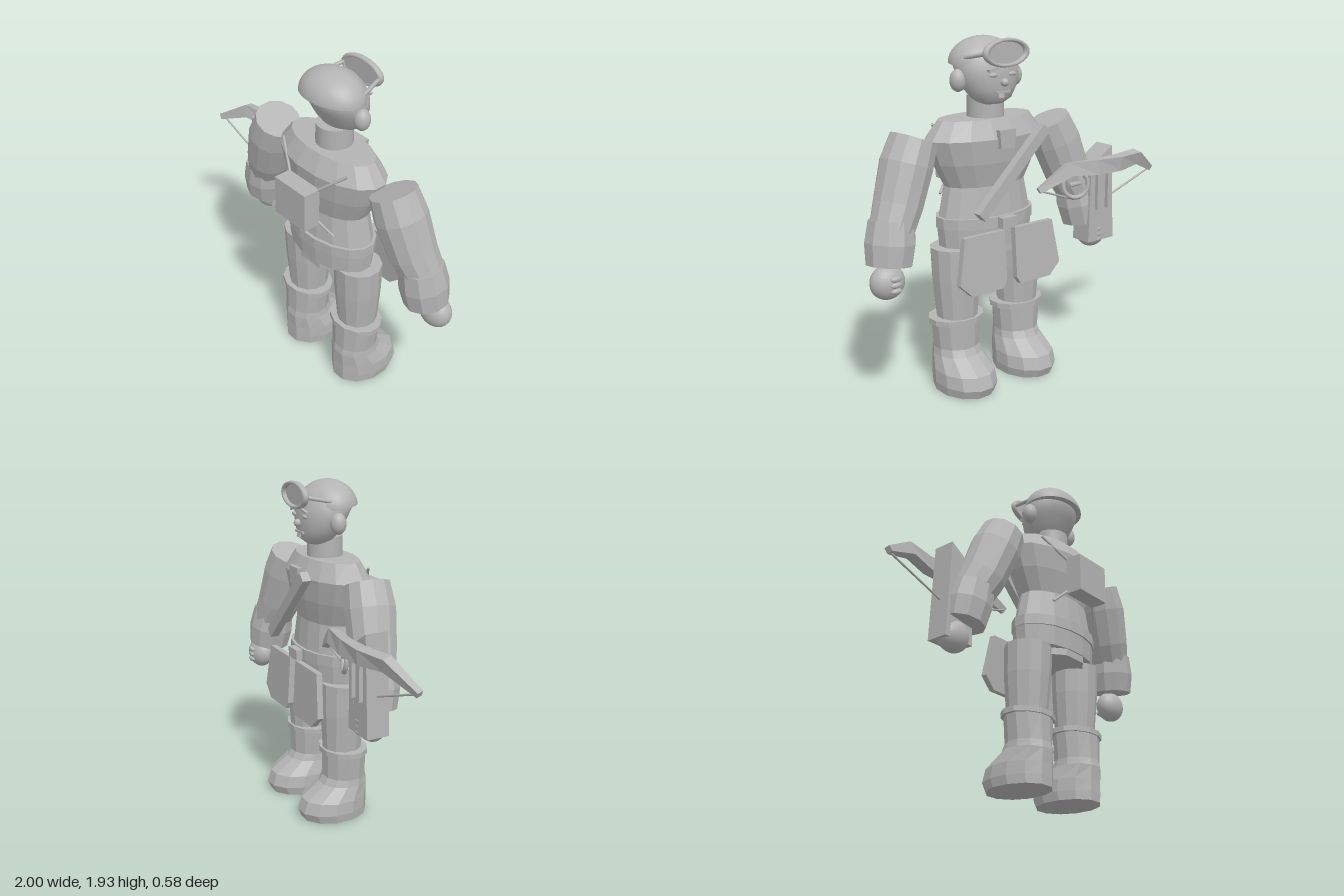
import * as THREE from 'three';

const clay = new THREE.MeshStandardMaterial({ color: 0xb4b4b4 });
clay.name = 'clay grey';
const CX = 0.187; // body axis

function mesh(parent, name, geo, x = 0, y = 0, z = 0, rx = 0, ry = 0, rz = 0) {
  const m = new THREE.Mesh(geo, clay);
  m.name = name;
  m.position.set(x, y, z);
  m.rotation.set(rx, ry, rz);
  parent.add(m);
  return m;
}

// Skins rings [x, y, z, rx, rz]; with follow, each ring is square to the path
function loft(rings, n, { flat = true, follow = false, phase = Math.PI / n } = {}) {
  const pos = [], idx = [], up = new THREE.Vector3(0, 1, 0), last = rings.length - 1;
  const pts = rings.map(r => new THREE.Vector3(r[0], r[1], r[2]));
  rings.forEach((r, k) => {
    const q = new THREE.Quaternion();
    if (follow) {
      const t = pts[Math.min(k + 1, last)].clone().sub(pts[Math.max(k - 1, 0)]).normalize();
      q.setFromUnitVectors(up, t);
    }
    for (let i = 0; i < n; i++) {
      const a = phase + i / n * Math.PI * 2;
      const v = new THREE.Vector3(Math.cos(a) * r[3], 0, Math.sin(a) * r[4]).applyQuaternion(q).add(pts[k]);
      pos.push(v.x, v.y, v.z);
    }
  });
  for (let k = 0; k < last; k++) for (let i = 0; i < n; i++) {
    const a = k * n + i, b = k * n + (i + 1) % n;
    idx.push(a, a + n, b, b, a + n, b + n);
  }
  const c = rings.length * n;
  pos.push(...pts[0].toArray(), ...pts[last].toArray());
  for (let i = 0; i < n; i++) {
    const j = (i + 1) % n;
    idx.push(c, i, j, c + 1, last * n + j, last * n + i);
  }
  let g = new THREE.BufferGeometry();
  g.setAttribute('position', new THREE.Float32BufferAttribute(pos, 3));
  g.setIndex(idx);
  if (flat) g = g.toNonIndexed();
  g.computeVertexNormals();
  return g;
}

// Straight round bar between two points
function rod(parent, name, a, b, r) {
  const A = new THREE.Vector3(...a), d = new THREE.Vector3(...b).sub(A);
  const m = mesh(parent, name, new THREE.CylinderGeometry(r, r, d.length(), 8));
  m.position.copy(A).addScaledVector(d, 0.5);
  m.quaternion.setFromUnitVectors(new THREE.Vector3(0, 1, 0), d.normalize());
  return m;
}

const box = (w, h, d) => new THREE.BoxGeometry(w, h, d);
const ball = (x, y, z) => new THREE.SphereGeometry(1, 24, 16).scale(x, y, z);
function plate(points, depth) {
  const s = new THREE.Shape(points.map(p => new THREE.Vector2(...p)));
  return new THREE.ExtrudeGeometry(s, { depth, bevelEnabled: false });
}

function buildHead(parent) {
  const head = new THREE.Group();
  head.name = 'head';
  head.position.x = CX;
  parent.add(head);
  mesh(head, 'skull', loft([
    [0, 1.575, -0.065, 0.07, 0.055], [0, 1.605, -0.065, 0.115, 0.095], [0, 1.66, -0.05, 0.157, 0.12],
    [0, 1.72, -0.037, 0.18, 0.138], [0, 1.77, -0.02, 0.187, 0.15], [0, 1.83, -0.01, 0.172, 0.142],
    [0, 1.88, -0.005, 0.125, 0.105], [0, 1.91, 0, 0.05, 0.04]], 28, { flat: false }));
  const dome = new THREE.SphereGeometry(1, 32, 10, 0, Math.PI * 2, 0, Math.PI / 2).scale(0.198, 0.143, 0.157);
  mesh(head, 'cap', dome, 0, 1.782, 0.008, -0.1);
  mesh(head, 'capUnderside', new THREE.CircleGeometry(1, 32).rotateX(Math.PI / 2).scale(0.198, 1, 0.157), 0, 1.782, 0.008, -0.1);
  mesh(head, 'neck', new THREE.CylinderGeometry(0.101, 0.101, 0.13, 24), 0, 1.55, -0.012);
  for (const s of [-1, 1]) {
    mesh(head, 'ear', ball(0.045, 0.06, 0.045), s * 0.187, 1.705, -0.025);
    mesh(head, 'eye', ball(0.026, 0.012, 0.01), s * 0.062, 1.735, -0.168);
    mesh(head, 'brow', box(0.065, 0.014, 0.02), s * 0.065, 1.765, -0.168, 0, 0, -s * 0.2);
    rod(head, 'goggleStrap', [s * 0.165, 1.82, -0.04], [s * 0.13, 1.85, -0.185], 0.011);
  }
  mesh(head, 'nose', ball(0.022, 0.022, 0.024), 0, 1.695, -0.178);
  mesh(head, 'mouth', box(0.09, 0.012, 0.016), 0, 1.645, -0.167);
  mesh(head, 'tooth', box(0.034, 0.032, 0.012), 0.012, 1.628, -0.164, 0.2);
  // Oval goggles pushed up on the forehead
  mesh(head, 'goggleRim', new THREE.TorusGeometry(0.132, 0.019, 8, 32).scale(1, 0.5, 1), 0, 1.85, -0.195);
  mesh(head, 'goggleLens', new THREE.CylinderGeometry(0.128, 0.128, 0.012, 32).rotateX(Math.PI / 2).scale(1, 0.48, 1), 0, 1.85, -0.187);
}

function buildTorso(parent) {
  const torso = new THREE.Group();
  torso.name = 'torso';
  torso.position.x = CX;
  parent.add(torso);
  mesh(torso, 'jacket', loft([
    [0, 0.96, 0, 0.295, 0.165], [0, 1.14, 0, 0.255, 0.148], [0, 1.27, 0, 0.325, 0.178],
    [0, 1.4, 0, 0.372, 0.192], [0, 1.5, 0, 0.296, 0.137]], 16));
  mesh(torso, 'belt', loft([[0, 0.915, 0, 0.308, 0.182], [0, 0.975, 0, 0.308, 0.182]], 16));
  mesh(torso, 'pelvis', loft([[0, 0.805, 0, 0.292, 0.165], [0, 0.93, 0, 0.304, 0.172]], 16));
  mesh(torso, 'crotch', loft([[0, 0.765, 0, 0.2, 0.165], [0, 0.9, 0, 0.2, 0.165]], 8));
  mesh(torso, 'buckle', box(0.1, 0.06, 0.04), 0, 0.945, -0.205);
  mesh(torso, 'chestPocket', plate([[-0.055, 0.05], [0.055, 0.05], [0.045, -0.05], [-0.045, -0.05]], 0.03), 0, 1.4, -0.21);
  mesh(torso, 'chestBar', box(0.06, 0.61, 0.05), 0, 1.23, -0.245, 0, 0, 0.8);
  // Pack with its crossed straps
  mesh(torso, 'backpack', box(0.24, 0.225, 0.1), 0, 1.23, 0.245);
  for (const s of [-1, 1]) {
    rod(torso, 'upperStrap', [s * 0.255, 1.46, 0.125], [s * 0.11, 1.335, 0.2], 0.008);
    rod(torso, 'lowerStrap', [s * 0.19, 1.06, 0.155], [s * 0.11, 1.14, 0.2], 0.008);
    const flap = plate([[s * 0.035, 0.16], [s * 0.3, 0.16], [s * 0.345, -0.09],
      [s * 0.27, -0.16], [s * 0.06, -0.16], [s * 0.035, -0.12]], 0.035);
    mesh(torso, 'hipFlap', flap, 0, 0.75, -0.235, 0.07);
  }
}

function buildLeg(parent, s) {
  const leg = new THREE.Group();
  leg.name = s > 0 ? 'leftLeg' : 'rightLeg';
  leg.position.x = CX + s * 0.213;
  parent.add(leg);
  mesh(leg, 'thigh', loft([[0, 0.4, -0.02, 0.115, 0.112], [0, 0.63, -0.015, 0.135, 0.128],
    [0, 0.81, -0.01, 0.14, 0.132]], 12));
  mesh(leg, 'bootCuff', loft([[0, 0.385, -0.012, 0.166, 0.135], [0, 0.415, -0.012, 0.166, 0.135]], 12));
  mesh(leg, 'boot', loft([
    [0, 0, -0.075, 0.155, 0.198], [0, 0.05, -0.085, 0.163, 0.21], [0, 0.12, -0.073, 0.16, 0.198],
    [0, 0.2, -0.015, 0.137, 0.142], [0, 0.24, -0.008, 0.132, 0.126], [0, 0.39, -0.01, 0.148, 0.124]], 12));
}

function buildArm(parent, s) {
  const arm = new THREE.Group();
  arm.name = s > 0 ? 'leftArm' : 'rightArm';
  parent.add(arm);
  const path = pts => pts.map(([x, y, z, r]) => [CX + s * x, y, z, r, r]);
  mesh(arm, 'sleeve', loft(path([[0.645, 0.98, -0.062, 0.118], [0.585, 1.1, -0.035, 0.132],
    [0.51, 1.3, -0.01, 0.143], [0.455, 1.425, 0, 0.128]]), 12, { follow: true }));
  mesh(arm, 'cuff', loft(path([[0.672, 0.81, -0.075, 0.122], [0.655, 0.92, -0.063, 0.135],
    [0.635, 1.035, -0.05, 0.122]]), 10, { follow: true }));
  mesh(arm, 'hand', ball(0.096, 0.092, 0.075), CX + s * 0.71, 0.738, -0.113);
  for (let i = 0; i < 3; i++)
    mesh(arm, 'finger', ball(0.032, 0.016, 0.016), CX + s * 0.7, 0.705 + i * 0.032, -0.182);
}

function buildCrossbow(parent) {
  const bow = new THREE.Group();
  bow.name = 'crossbow';
  parent.add(bow);
  mesh(bow, 'stock', plate([[-0.625, 0.7], [-0.425, 0.7], [-0.44, 1.16], [-0.6, 1.26]], 0.13), 0, 0, -0.195);
  for (const x of [-0.565, -0.485]) mesh(bow, 'stockRail', box(0.025, 0.25, 0.025), x, 1.02, -0.205);
  mesh(bow, 'limbs', loft([
    [-0.995, 1.06, -0.125, 0.024, 0.024], [-0.8, 1.165, -0.19, 0.055, 0.04], [-0.62, 1.16, -0.228, 0.06, 0.045],
    [-0.44, 1.16, -0.228, 0.06, 0.045], [-0.26, 1.165, -0.2, 0.055, 0.04], [-0.08, 1.06, -0.15, 0.024, 0.024]],
    4, { follow: true }));
  for (const x of [-0.97, -0.1]) rod(bow, 'string', [x, 1.055, -0.135], [-0.54, 0.9, -0.13], 0.006);
  mesh(bow, 'stirrup', new THREE.TorusGeometry(0.075, 0.013, 8, 24), -0.34, 1.06, -0.17, 0.1, -0.4);
  rod(bow, 'stirrupBar', [-0.45, 1.06, -0.15], [-0.3, 1.06, -0.16], 0.014);
}

export function createModel() {
  const model = new THREE.Group();
  model.name = 'archer';
  buildHead(model);
  buildTorso(model);
  for (const s of [-1, 1]) {
    buildLeg(model, s);
    buildArm(model, s);
  }
  buildCrossbow(model);
  return model;
}
